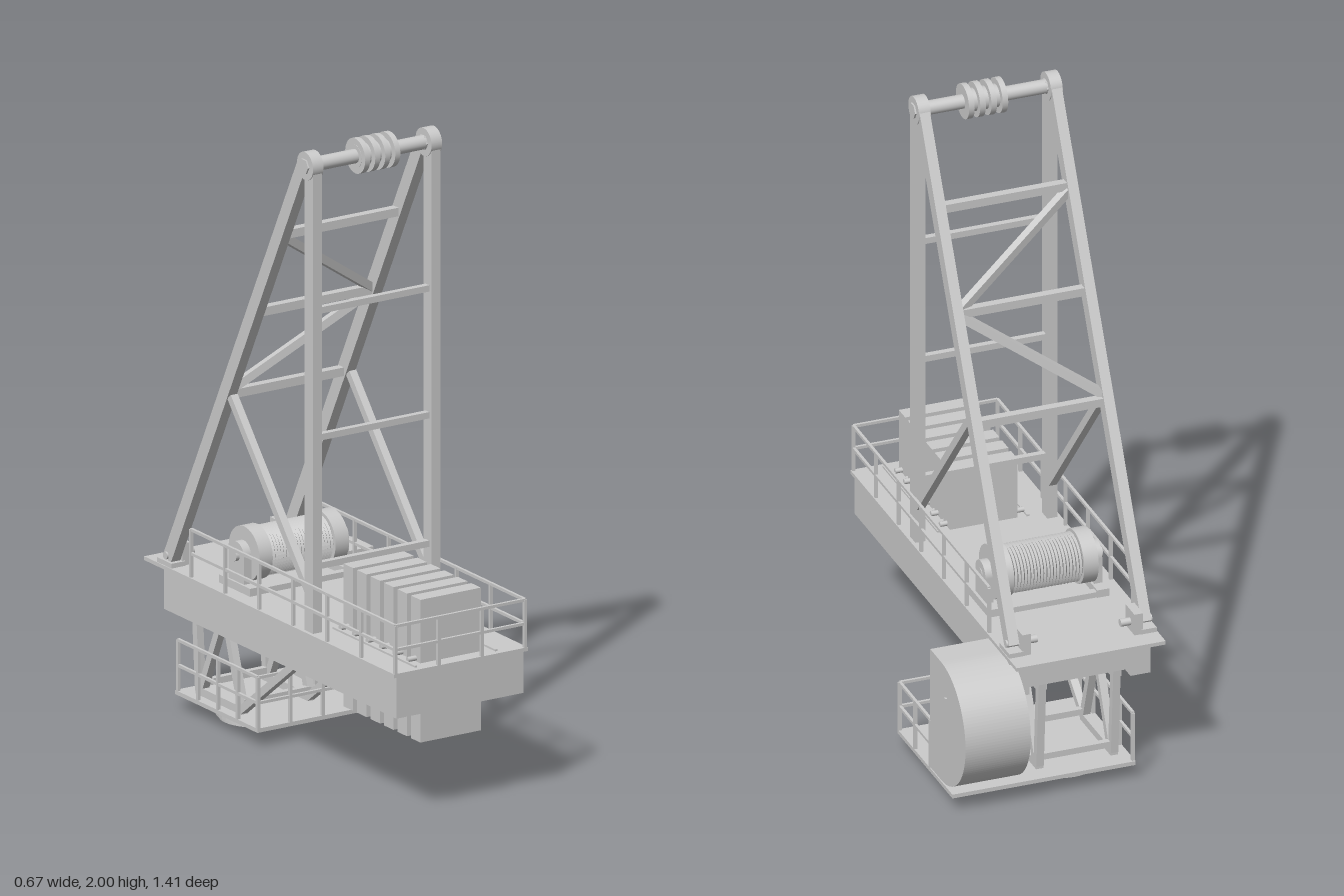
import * as THREE from 'three';

const mat = new THREE.MeshStandardMaterial({ color: 0xcccccc, flatShading: true });
const smooth = new THREE.MeshStandardMaterial({ color: 0xcccccc });
const V = (p) => new THREE.Vector3(...p);

export function createModel() {
  const root = new THREE.Group();
  root.name = 'craneSuperstructure';

  const group = (name) => {
    const g = new THREE.Group();
    g.name = name;
    root.add(g);
    return g;
  };
  const add = (parent, name, geo, m = mat) => {
    const mesh = new THREE.Mesh(geo, m);
    mesh.name = name;
    parent.add(mesh);
    return mesh;
  };
  // Box given by its min and max on each axis
  const box = (parent, name, x0, x1, y0, y1, z0, z1) => {
    const m = add(parent, name, new THREE.BoxGeometry(x1 - x0, y1 - y0, z1 - z0));
    m.position.set((x0 + x1) / 2, (y0 + y1) / 2, (z0 + z1) / 2);
    return m;
  };
  // Square bar between two points
  const bar = (parent, name, a, b, w, h = w) => {
    const p = V(a), q = V(b);
    const m = add(parent, name, new THREE.BoxGeometry(w, h, p.distanceTo(q)));
    m.position.copy(p).add(q).multiplyScalar(0.5);
    m.lookAt(q);
    return m;
  };
  // Cylinder lying along x
  const rod = (parent, name, x0, x1, y, z, r, n = 32) => {
    const m = add(parent, name, new THREE.CylinderGeometry(r, r, x1 - x0, n), n > 8 ? smooth : mat);
    m.rotation.z = Math.PI / 2;
    m.position.set((x0 + x1) / 2, y, z);
    return m;
  };
  // Railing along a path of ground points, posts spread evenly on each run
  const railing = (name, y, height, path, spans) => {
    const g = group(name);
    path.slice(1).forEach((b, i) => {
      const a = path[i];
      for (const f of [0.5, 1]) {
        bar(g, 'rail', [a[0], y + height * f, a[1]], [b[0], y + height * f, b[1]], 0.009);
      }
      for (let k = i ? 1 : 0; k <= spans[i]; k++) {
        const t = k / spans[i];
        const x = a[0] + (b[0] - a[0]) * t, z = a[1] + (b[1] - a[1]) * t;
        box(g, 'railPost', x - 0.005, x + 0.005, y, y + height, z - 0.005, z + 0.005);
      }
    });
  };

  // Main deck on two girders with cross members
  const deck = group('deck');
  box(deck, 'deckPlate', -0.335, 0.145, 0.468, 0.48, -0.665, 0.7);
  for (const [x0, x1] of [[-0.32, -0.255], [0.07, 0.135]]) {
    box(deck, 'girder', x0, x1, 0.335, 0.468, -0.58, 0.69);
  }
  box(deck, 'frontBeam', -0.255, 0.07, 0.335, 0.468, 0.665, 0.69);
  box(deck, 'rearBeam', -0.255, 0.07, 0.36, 0.468, -0.58, -0.54);
  for (const z of [-0.3, -0.05, 0.18]) {
    box(deck, 'crossMember', -0.255, 0.07, 0.38, 0.468, z - 0.015, z + 0.015);
  }
  railing('deckRailing', 0.48, 0.15,
    [[0.137, -0.42], [0.137, 0.695], [-0.327, 0.695], [-0.327, -0.42]], [6, 3, 6]);

  // Counterweight slabs hanging through the deck on pins
  const weights = group('counterweights');
  for (let i = 0; i < 6; i++) {
    const z = 0.26 + i * 0.0735;
    box(weights, 'slab', -0.21, 0.007, 0.23, 0.68, z - 0.026, z + 0.026);
    rod(weights, 'slabPin', -0.24, 0.03, 0.49, z, 0.008, 12);
  }
  for (const x of [-0.243, 0.045]) {
    box(weights, 'slabRail', x - 0.004, x + 0.004, 0.48, 0.486, 0.23, 0.68);
  }

  // A-frame: upright posts, raked legs and side braces
  const frame = group('aFrame');
  const legZ = (y) => 0.17 - (1.93 - y) * 0.509;
  for (const x of [-0.307, 0.118]) {
    box(frame, 'frontPost', x - 0.016, x + 0.016, 0.48, 1.96, 0.194, 0.24);
    bar(frame, 'rearLeg', [x, 1.96, legZ(1.96)], [x, 0.5, legZ(0.5)], 0.033, 0.045);
    bar(frame, 'sideBrace', [x, 0.6, 0.2], [x, 1.1, -0.225], 0.025);
    rod(frame, 'headPlate', x - 0.019, x + 0.019, 1.945, 0.2, 0.044);
    rod(frame, 'headNut', x - 0.024, x + 0.024, 1.945, 0.2, 0.024, 6);
    // Foot bracket on the inner side of the leg
    const inner = x < 0 ? 1 : -1;
    const bx = x + inner * 0.032;
    box(frame, 'footBracket', bx - 0.014, bx + 0.014, 0.48, 0.55, -0.598, -0.525);
    box(frame, 'footPad', x - 0.025, x + 0.025, 0.48, 0.495, -0.6, -0.52);
    const ends = [x - inner * 0.022, x + inner * 0.078].sort((a, b) => a - b);
    rod(frame, 'footPin', ends[0], ends[1], 0.51, -0.56, 0.012, 16);
  }
  const xl = -0.295, xr = 0.106;
  for (const y of [1.685, 1.4, 1.1]) {
    bar(frame, 'rearCrossbar', [xl, y, legZ(y)], [xr, y, legZ(y)], 0.027);
  }
  bar(frame, 'rearDiagonal', [xl, 1.67, legZ(1.67)], [xr, 1.405, legZ(1.405)], 0.025);
  bar(frame, 'rearDiagonal', [xr, 1.39, legZ(1.39)], [xl, 1.12, legZ(1.12)], 0.025);
  for (const y of [1.49, 1.09, 0.685]) {
    bar(frame, 'frontCrossbar', [xl, y, 0.217], [xr, y, 0.217], 0.02);
  }

  // Head axle and sheaves with grooved rims
  const head = group('headSheaves');
  rod(head, 'axle', -0.307, 0.118, 1.945, 0.2, 0.022);
  rod(head, 'hub', -0.147, -0.02, 1.945, 0.2, 0.036);
  for (let i = 0; i < 4; i++) {
    const x = -0.137 + i * 0.036;
    rod(head, 'sheave', x - 0.009, x + 0.009, 1.945, 0.2, 0.055);
  }

  // Winch: rope-wound drum, flanges and bearings
  const winch = group('winch');
  const wy = 0.588, wz = -0.248;
  rod(winch, 'shaft', -0.29, 0.1, wy, wz, 0.018);
  rod(winch, 'flange', -0.25, -0.203, wy, wz, 0.085, 40);
  rod(winch, 'flange', 0.022, 0.07, wy, wz, 0.085, 40);
  const wraps = [];
  for (let i = 0; i <= 44; i++) {
    wraps.push(new THREE.Vector2(i % 2 ? 0.077 : 0.07, -0.113 + i * 0.0052));
  }
  const drum = add(winch, 'ropeDrum', new THREE.LatheGeometry(wraps, 40));
  drum.rotation.z = -Math.PI / 2;
  drum.position.set(-0.092, wy, wz);
  for (const x of [-0.265, 0.085]) {
    rod(winch, 'bearing', x - 0.013, x + 0.013, wy, wz, 0.042);
    box(winch, 'bearingStand', x - 0.013, x + 0.013, 0.5, wy, wz - 0.042, wz + 0.042);
    box(winch, 'bearingFoot', x - 0.02, x + 0.02, 0.48, 0.505, wz - 0.085, wz + 0.085);
  }
  for (const z of [wz - 0.07, wz + 0.07]) {
    box(winch, 'baseRail', -0.28, 0.1, 0.48, 0.498, z - 0.012, z + 0.012);
  }

  // Lower platform with railing and edge gussets
  const platform = group('lowerPlatform');
  box(platform, 'floor', -0.26, 0.33, 0.047, 0.06, -0.61, -0.16);
  for (const z of [-0.32, -0.42, -0.52]) {
    bar(platform, 'outrigger', [0.02, 0.018, z], [0.325, 0.048, z], 0.008);
  }
  railing('platformRailing', 0.06, 0.16,
    [[0.325, -0.42], [0.325, -0.165], [-0.255, -0.165], [-0.255, -0.6]], [2, 5, 4]);

  // Slewing ring, open in the middle
  const ring = add(root, 'slewRing', new THREE.LatheGeometry([
    [0.075, 0], [0.112, 0], [0.112, 0.012], [0.122, 0.012], [0.122, 0.05], [0.075, 0.05], [0.075, 0],
  ].map((p) => new THREE.Vector2(...p)), 40));
  ring.position.set(-0.095, 0, -0.42);

  // Struts between girders and platform
  const struts = group('supportStruts');
  for (const x of [-0.215, 0.025]) {
    for (const [zt, zb] of [[0.07, -0.31], [-0.4, -0.305], [-0.4, -0.53], [-0.56, -0.54]]) {
      bar(struts, 'strut', [x, 0.36, zt], [x, 0.07, zb], 0.024);
    }
    box(struts, 'topChord', x - 0.015, x + 0.015, 0.335, 0.38, -0.57, 0.1);
    box(struts, 'bottomChord', x - 0.012, x + 0.012, 0.06, 0.085, -0.55, -0.3);
  }
  for (const z of [-0.31, -0.535]) {
    bar(struts, 'strutTie', [-0.215, 0.095, z], [0.025, 0.095, z], 0.02);
  }

  // Machinery house with a rounded back
  const house = group('machineryHouse');
  const side = new THREE.Shape();
  side.moveTo(0.42, 0.06);
  side.lineTo(0.42, 0.46);
  side.lineTo(0.51, 0.46);
  side.absarc(0.51, 0.26, 0.2, Math.PI / 2, -Math.PI / 2, true);
  side.closePath();
  const shell = add(house, 'houseShell',
    new THREE.ExtrudeGeometry(side, { depth: 0.21, bevelEnabled: false, curveSegments: 32 }));
  shell.rotation.y = Math.PI / 2;
  shell.position.x = 0.117;
  box(house, 'door', 0.135, 0.31, 0.075, 0.445, -0.421, -0.417);
  box(house, 'doorHandle', 0.14, 0.15, 0.232, 0.248, -0.418, -0.408);
  box(house, 'grabRail', 0.327, 0.333, 0.2, 0.36, -0.56, -0.55);
  return root;
}
